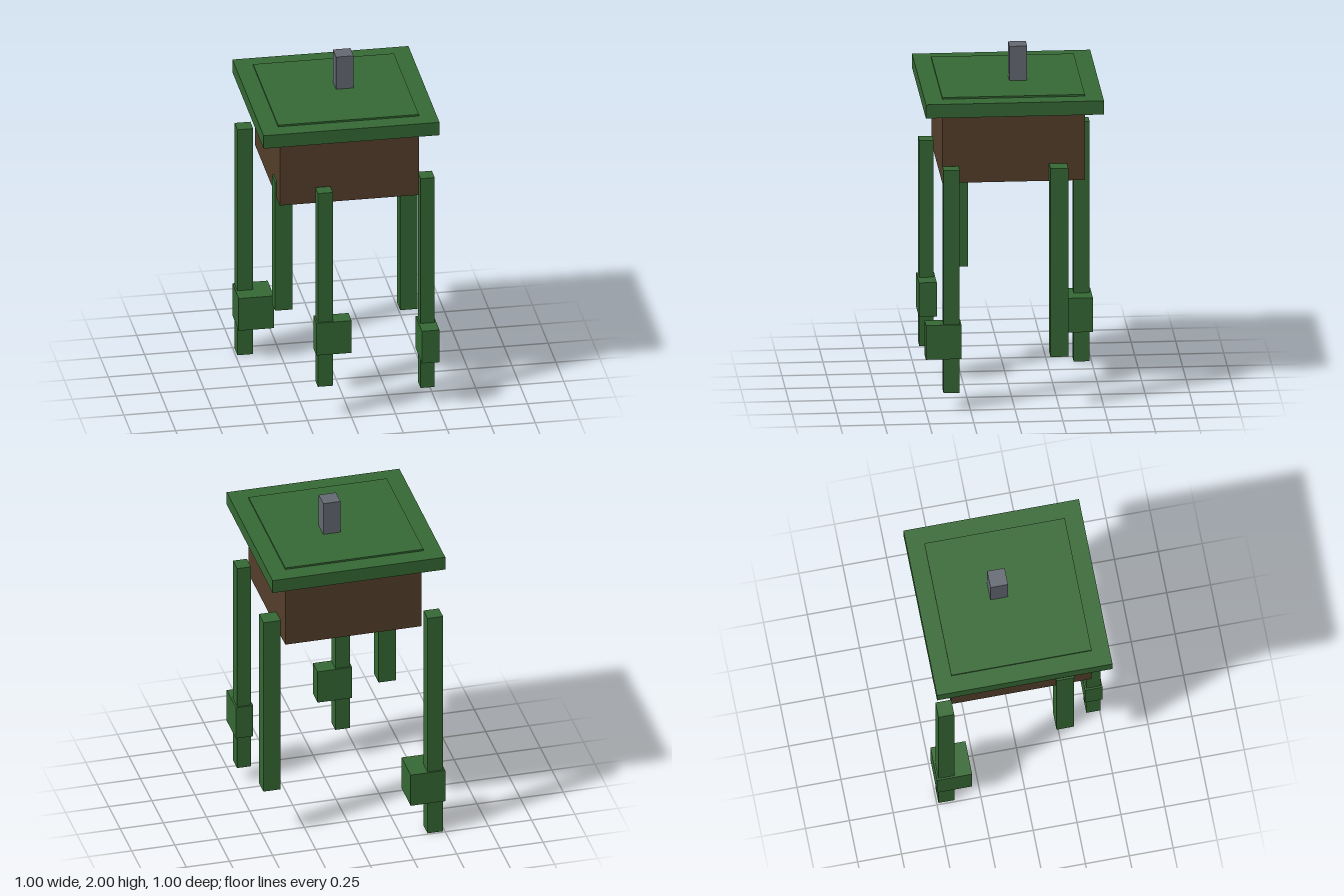
import * as THREE from 'three';

export function createModel() {
  const model = new THREE.Group();
  const green = new THREE.MeshStandardMaterial({ color: 0x366a35 });
  green.name = 'leaf green';
  const brown = new THREE.MeshStandardMaterial({ color: 0x553f2b });
  brown.name = 'earth brown';
  const grey = new THREE.MeshStandardMaterial({ color: 0x666a73 });
  grey.name = 'stone grey';

  // Box spanning two opposite corners
  function block(name, material, min, max, parent = model) {
    const size = max.map((v, i) => v - min[i]);
    const mesh = new THREE.Mesh(new THREE.BoxGeometry(...size), material);
    mesh.position.set(...max.map((v, i) => (v + min[i]) / 2));
    mesh.name = name;
    parent.add(mesh);
  }

  // Body, overhanging lid with a slightly raised core, and the post on top
  block('body', brown, [-0.39, 1.3, -0.4], [0.4, 1.7, 0.4]);
  block('lidCore', green, [-0.4, 1.7, -0.4], [0.4, 1.8, 0.4]);
  block('lidRim', green, [-0.5, 1.71, -0.5], [0.5, 1.79, 0.5]);
  block('post', grey, [0, 1.8, -0.1], [0.1, 2, 0]);

  // Hanging vines, some with a leaf cluster near the tip
  const vines = [
    { name: 'backRightVine', stem: [[-0.49, 0, -0.49], [-0.4, 1.4, -0.4]], leaf: [[-0.5, 0.2, -0.5], [-0.3, 0.4, -0.3]] },
    { name: 'frontVine', stem: [[-0.19, 0.2, 0.41], [-0.105, 1.4, 0.49]], leaf: [[-0.2, 0.4, 0.4], [0, 0.6, 0.5]] },
    { name: 'frontLeftVine', stem: [[0.41, 0.1, 0.31], [0.49, 1.4, 0.4]], leaf: [[0.4, 0.3, 0.3], [0.5, 0.5, 0.5]] },
    { name: 'backLeftVine', stem: [[0.4, 0.3, -0.3], [0.5, 1.4, -0.2]] },
    { name: 'innerVine', stem: [[-0.4, 0.6, 0.2], [-0.3, 1.4, 0.3]] },
  ];
  for (const { name, stem, leaf } of vines) {
    const vine = new THREE.Group();
    vine.name = name;
    block('stem', green, ...stem, vine);
    if (leaf) block('leafCluster', green, ...leaf, vine);
    model.add(vine);
  }
  return model;
}
